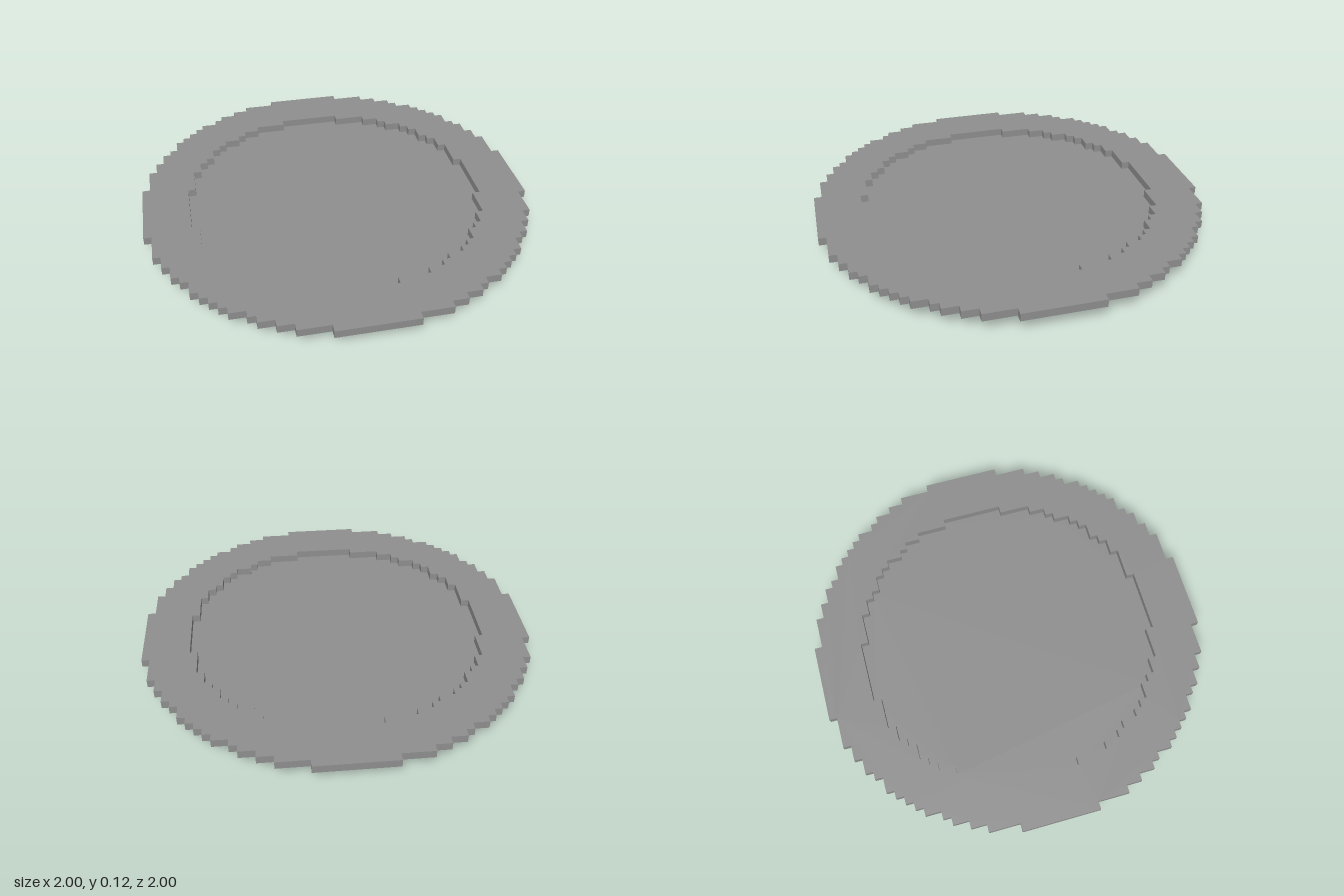
import * as THREE from 'three';

const UNIT = 0.04; // edge of one block

// Is the block in column i, row j (counted from 1 outward) within the disc?
const inDisc = (r) => (i, j) => (i - 0.5) ** 2 + (j - 0.5) ** 2 < r * r;

// Disc with its outermost blocks removed
const inset = (inside) => (i, j) => inside(i + 1, j) && inside(i, j + 1);

// Stepped outline of a block disc, counter-clockwise
function outline(r, inside) {
  const right = [];
  let last = 0;
  for (let row = -r; row < r; row++) {
    const j = row < 0 ? -row : row + 1;
    let w = 0;
    while (inside(w + 1, j)) w++;
    if (w !== last) {
      if (last) right.push([last, row]);
      right.push([w, row]);
    }
    last = w;
  }
  right.push([last, r]);
  const left = right.map(([x, y]) => [-x, y]).reverse();
  return [...right, ...left].map(([x, y]) => new THREE.Vector2(x * UNIT, y * UNIT));
}

// One block-high layer, optionally with an opening
function layer(name, level, outer, hole) {
  const shape = new THREE.Shape(outer);
  if (hole) shape.holes.push(new THREE.Path(hole));
  const geometry = new THREE.ExtrudeGeometry(shape, { depth: UNIT, bevelEnabled: false });
  geometry.rotateX(-Math.PI / 2);
  geometry.translate(0, level * UNIT, 0);
  const material = new THREE.MeshStandardMaterial({ color: 0x8f8f8f, flatShading: true });
  const mesh = new THREE.Mesh(geometry, material);
  mesh.name = name;
  return mesh;
}

export function createModel() {
  const group = new THREE.Group();
  group.name = 'plate';
  const base = inDisc(20);
  group.add(
    layer('foot', 0, outline(10, inDisc(10))),
    layer('base', 1, outline(20, base)),
    // The rim rests on the outermost blocks of the base
    layer('rim', 2, outline(25, inDisc(25)), outline(19, inset(base)))
  );
  return group;
}
